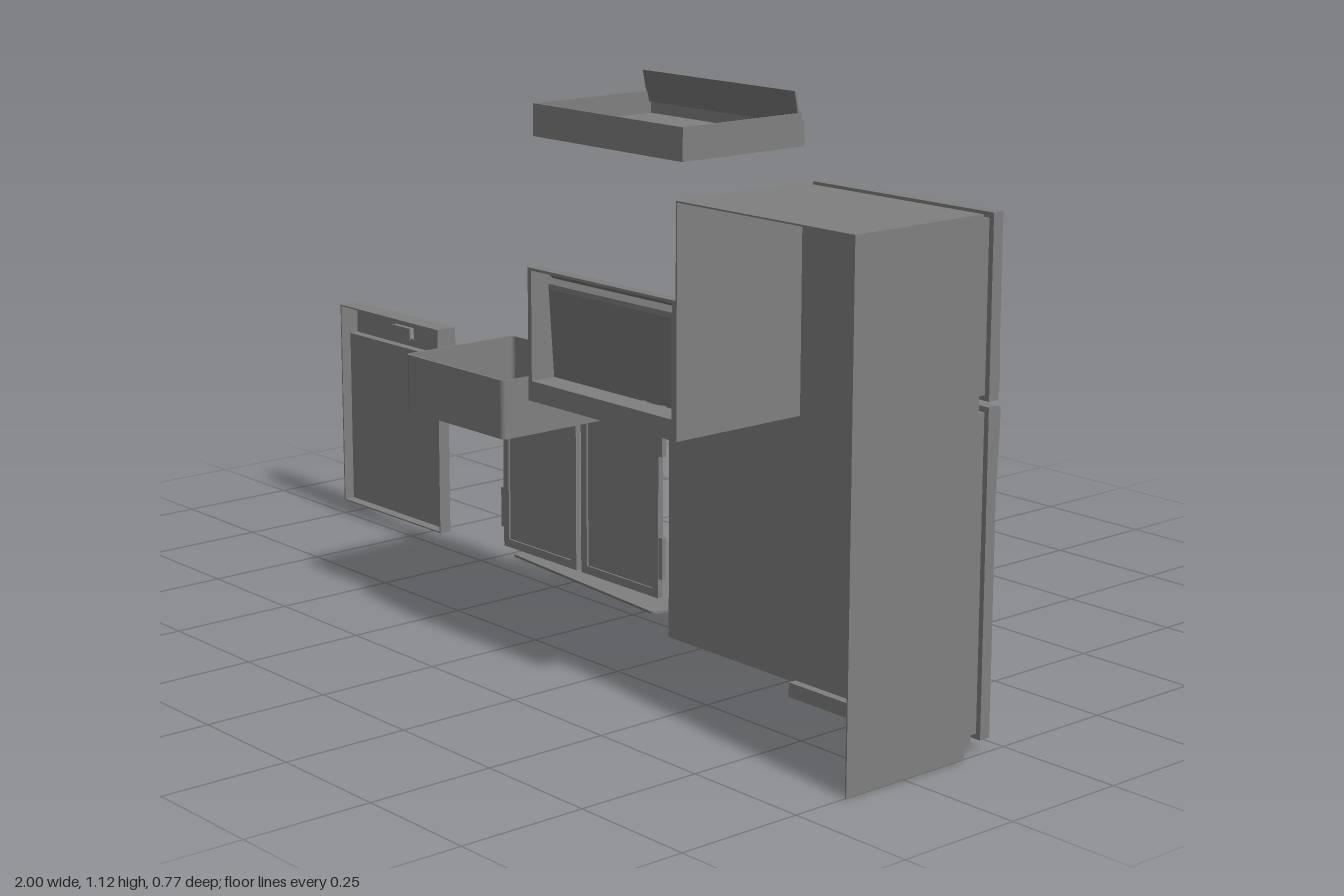
import * as THREE from 'three';

export function createModel() {
  const root = new THREE.Group();
  const grey = new THREE.MeshStandardMaterial({ color: 0x808080, side: THREE.DoubleSide });
  grey.name = 'applianceGrey';

  const group = (name) => {
    const g = new THREE.Group();
    g.name = name;
    root.add(g);
    return g;
  };
  const add = (g, name, geo, x = 0, y = 0, z = 0) => {
    const m = new THREE.Mesh(geo, grey);
    m.name = name;
    m.position.set(x, y, z);
    g.add(m);
    return m;
  };
  // box given by its limits
  const box = (g, name, x0, x1, y0, y1, z0, z1) =>
    add(g, name, new THREE.BoxGeometry(x1 - x0, y1 - y0, z1 - z0), (x0 + x1) / 2, (y0 + y1) / 2, (z0 + z1) / 2);
  const rounded = (w, h, r) => {
    const s = new THREE.Shape();
    const a = w / 2 - r, b = h / 2 - r;
    s.absarc(a, b, r, 0, Math.PI / 2);
    s.absarc(-a, b, r, Math.PI / 2, Math.PI);
    s.absarc(-a, -b, r, Math.PI, Math.PI * 1.5);
    s.absarc(a, -b, r, Math.PI * 1.5, Math.PI * 2);
    return s;
  };
  const extrude = (s, depth) => new THREE.ExtrudeGeometry(s, { depth, bevelEnabled: false, curveSegments: 4 });
  // plan shape (x, z) extruded down from y = 0
  const flat = (s, depth) => extrude(s, depth).rotateX(Math.PI / 2);
  // side profile of [z, y] points extruded along +x
  const profile = (pts, width) =>
    extrude(new THREE.Shape(pts.map(([z, y]) => new THREE.Vector2(-z, y))), width).rotateY(Math.PI / 2);
  const knob = (g, name, x, y, z, r, d) =>
    add(g, name, new THREE.CylinderGeometry(r * 0.85, r, d, 14).rotateX(-Math.PI / 2), x, y, z - d / 2);
  const t = 0.003;

  // Refrigerator: cabinet with open back
  const fridge = group('refrigerator');
  box(fridge, 'outerSide', 1 - t, 1, 0, 0.955, 0.105, 0.385);
  box(fridge, 'outerSideFront', 1 - t, 1, 0.025, 0.955, 0.085, 0.105);
  box(fridge, 'innerSide', 0.565, 0.565 + t, 0.53, 0.955, 0.085, 0.385);
  box(fridge, 'cabinetTop', 0.565, 1, 0.955 - t, 0.955, 0.085, 0.385);
  box(fridge, 'cabinetFront', 0.565, 1, 0.025, 0.955, 0.085, 0.085 + t);
  box(fridge, 'kickPlate', 0.565, 1, 0, 0.025, 0.1, 0.105);
  box(fridge, 'kickLedge', 0.565, 1, 0.025, 0.025 + t, 0.085, 0.105);
  for (const [y0, y1, h0, h1, thickTop] of [[0.63, 0.955, 0.64, 0.86, false], [0.025, 0.62, 0.34, 0.615, true]]) {
    box(fridge, 'doorGasket', 0.575, 0.99, y0 + 0.01, y1 - 0.01, 0.06, 0.085);
    box(fridge, 'door', 0.565, 1, y0, y1, 0.037, 0.06);
    // tapered handle, thickest next to the gap between the doors
    const pts = thickTop
      ? [[0.037, h0], [0.037, h1], [0.022, h1], [0.022, h1 - 0.03], [0.034, h0]]
      : [[0.037, h0], [0.037, h1], [0.034, h1], [0.026, h0 + 0.03], [0.026, h0]];
    add(fridge, 'doorHandle', profile(pts, 0.012), 0.98);
  }

  // Range: front, cooktop and control panel
  const range = group('range');
  const rx0 = 0.155, rx1 = 0.565;
  box(range, 'rangeFrame', rx0, rx1, 0, 0.535, 0.035, 0.04);
  box(range, 'toeKick', rx0, rx1, 0, 0.025, 0.018, 0.035);
  box(range, 'drawerBack', rx0, rx1, 0.025, 0.182, 0.018, 0.035);
  box(range, 'drawer', rx0, rx1, 0.03, 0.18, -0.002, 0.018);
  box(range, 'ovenDoor', rx0, rx1, 0.193, 0.528, -0.002, 0.035);
  const windowFrame = rounded(0.25, 0.115, 0.012);
  windowFrame.holes.push(rounded(0.236, 0.101, 0.008));
  add(range, 'ovenWindowFrame', extrude(windowFrame, 0.005), 0.36, 0.385, -0.006);
  const bar = new THREE.CatmullRomCurve3([[0.185, -0.002], [0.187, -0.025], [0.2, -0.032], [0.36, -0.032],
    [0.52, -0.032], [0.533, -0.025], [0.535, -0.002]].map(([x, z]) => new THREE.Vector3(x, 0.5, z)), false, 'catmullrom', 0.2);
  add(range, 'ovenHandle', new THREE.TubeGeometry(bar, 32, 0.007, 8));

  // Cooktop sheet with burner openings and a skirt
  const burners = [[0.45, 0.11, 0.056], [0.285, 0.11, 0.07], [0.45, 0.27, 0.068], [0.285, 0.27, 0.056]];
  const sheet = new THREE.Shape([[rx0, -0.01], [rx1, -0.01], [rx1, 0.385], [rx0, 0.385]].map((p) => new THREE.Vector2(...p)));
  for (const [x, z, r] of burners) sheet.holes.push(new THREE.Path().absarc(x, z, r, 0, Math.PI * 2, true));
  add(range, 'cooktop', new THREE.ExtrudeGeometry(sheet, { depth: 0.004, bevelEnabled: false, curveSegments: 14 })
    .rotateX(Math.PI / 2), 0, 0.568, 0);
  box(range, 'cooktopFront', rx0, rx1, 0.535, 0.564, -0.01, -0.006);
  box(range, 'cooktopRear', rx0, rx1, 0.53, 0.564, 0.381, 0.385);
  for (const x of [rx0, rx1 - t]) {
    add(range, 'cooktopSide', profile([[-0.01, 0.535], [0.04, 0.535], [0.385, 0.55], [0.385, 0.564], [-0.01, 0.564]], t), x);
  }
  for (const [x, z, r] of burners) {
    const bowl = [[0.001, -0.016], [r * 0.5, -0.016], [r * 0.85, -0.008], [r, 0.002], [r + 0.004, 0.001]];
    add(range, 'dripBowl', new THREE.LatheGeometry(bowl.map((p) => new THREE.Vector2(...p)), 28), x, 0.568, z);
    const coil = [];
    for (let i = 0; i <= 72; i++) {
      const a = (i / 72) * Math.PI * 8, q = r * (0.16 + 0.7 * i / 72);
      coil.push(new THREE.Vector3(Math.cos(a) * q, 0, Math.sin(a) * q));
    }
    add(range, 'burnerCoil', new THREE.TubeGeometry(new THREE.CatmullRomCurve3(coil), 110, 0.0035, 6), x, 0.571, z);
  }

  // Control panel: open behind, with a curved top lip
  const panel = [[0.328, 0.566], [0.34, 0.735], [0.322, 0.743], [0.328, 0.76], [0.345, 0.774], [0.37, 0.78], [0.385, 0.78],
    [0.385, 0.775], [0.37, 0.775], [0.348, 0.768], [0.335, 0.755], [0.344, 0.745], [0.344, 0.735], [0.332, 0.566]];
  add(range, 'controlPanel', profile(panel, rx1 - rx0), rx0);
  for (const x of [rx0, rx1 - 0.01]) {
    add(range, 'controlPanelEnd', profile([[0.328, 0.566], [0.34, 0.735], [0.326, 0.745], [0.345, 0.772], [0.385, 0.78], [0.385, 0.566]], 0.01), x);
  }
  for (const x of [0.21, 0.5]) for (const y of [0.655, 0.71]) knob(range, 'burnerKnob', x, y, 0.337, 0.014, 0.018);
  box(range, 'clockPanel', 0.26, 0.45, 0.645, 0.715, 0.327, 0.334);

  // Range hood: open tray with a tapered front lip
  const hood = group('rangeHood');
  box(hood, 'hoodFloor', rx0, rx1, 1.035, 1.038, 0.09, 0.37);
  box(hood, 'hoodRear', rx0, rx1, 1.02, 1.08, 0.367, 0.37);
  for (const x of [rx0, rx1 - t]) box(hood, 'hoodSide', x, x + t, 1.02, 1.08, 0.09, 0.37);
  add(hood, 'hoodFlare', profile([[0.108, 1.12], [0.104, 1.12], [0.09, 1.065], [0.095, 1.06]], rx1 - rx0), rx0);
  const plan = (i) => [[rx0 + i, 0.09], [rx0 + i, 0.083], [0.2 + i, 0.04 + i], [0.52 - i, 0.04 + i], [rx1 - i, 0.083], [rx1 - i, 0.09]]
    .map((p) => new THREE.Vector2(...p));
  const slope = (geo) => {
    const p = geo.attributes.position;
    for (let i = 0; i < p.count; i++) if (p.getY(i) > -0.01) p.setY(i, p.getY(i) - (0.09 - p.getZ(i)) * 0.3);
    geo.computeVertexNormals();
    return geo;
  };
  const rim = new THREE.Shape(plan(0));
  rim.holes.push(new THREE.Path(plan(0.004).map((v) => v.setY(Math.min(v.y, 0.088))).reverse()));
  add(hood, 'hoodLipRim', slope(flat(rim, 0.048)), 0, 1.068, 0);
  add(hood, 'hoodLipTop', slope(flat(new THREE.Shape(plan(0)), 0.003)), 0, 1.068, 0);
  add(hood, 'lightCover', profile([[0.26, 1.02], [0.19, 1.005], [0.19, 1.035], [0.26, 1.035]], 0.215), 0.235);
  box(hood, 'hoodFilter', 0.26, 0.43, 1.012, 1.035, 0.125, 0.18);

  // Sink: open basin
  const sink = group('sink');
  const wall = rounded(0.315, 0.27, 0.012);
  wall.holes.push(rounded(0.307, 0.262, 0.009));
  add(sink, 'basinWall', flat(wall, 0.115), -0.148, 0.532, 0.195);
  add(sink, 'basinFloor', flat(rounded(0.313, 0.268, 0.011), 0.004), -0.148, 0.421, 0.195);

  // Pair of cupboard doors, mirrored about their shared gap
  const cupboard = group('cupboardDoors');
  for (const s of [-1, 1]) {
    const X = (d) => -0.163 + s * d;
    const part = (name, a, b, ...rest) => box(cupboard, name, Math.min(X(a), X(b)), Math.max(X(a), X(b)), ...rest);
    part('doorStileInner', 0.008, 0.026, 0.055, 0.47, -0.006, 0.006);
    part('doorStileOuter', 0.23, 0.247, 0.055, 0.47, -0.006, 0.006);
    for (const y of [0.055, 0.453]) part('doorRail', 0.026, 0.23, y, y + 0.017, -0.006, 0.006);
    part('doorPanel', 0.026, 0.23, 0.072, 0.453, -0.002, 0.002);
    for (const y of [0.095, 0.345]) part('hinge', 0.246, 0.257, y, y + 0.085, -0.005, 0.005);
    knob(cupboard, 'doorKnob', X(0.034), 0.435, -0.002, 0.011, 0.012);
  }

  // Dishwasher front: open behind
  const dish = group('dishwasher');
  const dx0 = -1, dx1 = -0.64;
  box(dish, 'dishwasherDoor', dx0, dx1, 0.03, 0.41, -0.025, -0.021);
  for (const x of [dx0, dx1 - t]) {
    box(dish, 'doorSide', x, x + t, 0.03, 0.41, -0.021, 0.002);
    box(dish, 'controlSide', x, x + t, 0.41, 0.48, -0.041, 0.002);
  }
  box(dish, 'doorBottom', dx0, dx1, 0.03, 0.03 + t, -0.021, 0.002);
  box(dish, 'controlTop', dx0, dx1, 0.48 - t, 0.48, -0.041, 0.002);
  box(dish, 'controlUnderside', dx0, dx1, 0.41, 0.41 + t, -0.041, -0.021);
  // control face with a latch opening
  const face = new THREE.Shape([[dx0, 0.41], [dx1, 0.41], [dx1, 0.48], [dx0, 0.48]].map((p) => new THREE.Vector2(...p)));
  face.holes.push(new THREE.Path([[-0.855, 0.43], [-0.855, 0.455], [-0.785, 0.455], [-0.785, 0.43]].map((p) => new THREE.Vector2(...p))));
  add(dish, 'controlFace', extrude(face, 0.004), 0, 0, -0.045);
  box(dish, 'latchRecess', -0.855, -0.785, 0.43, 0.455, -0.034, -0.03);
  knob(dish, 'timerKnob', -0.945, 0.445, -0.045, 0.015, 0.009);
  for (const x of [-0.73, -0.71, -0.69, -0.67]) box(dish, 'button', x - 0.006, x + 0.006, 0.437, 0.452, -0.049, -0.045);

  // Floor mat, slightly turned
  const mat = add(group('mat'), 'floorMat', flat(rounded(0.515, 0.313, 0.012), 0.005), -0.215, 0.005, -0.208);
  mat.rotation.y = -0.084;

  return root;
}
